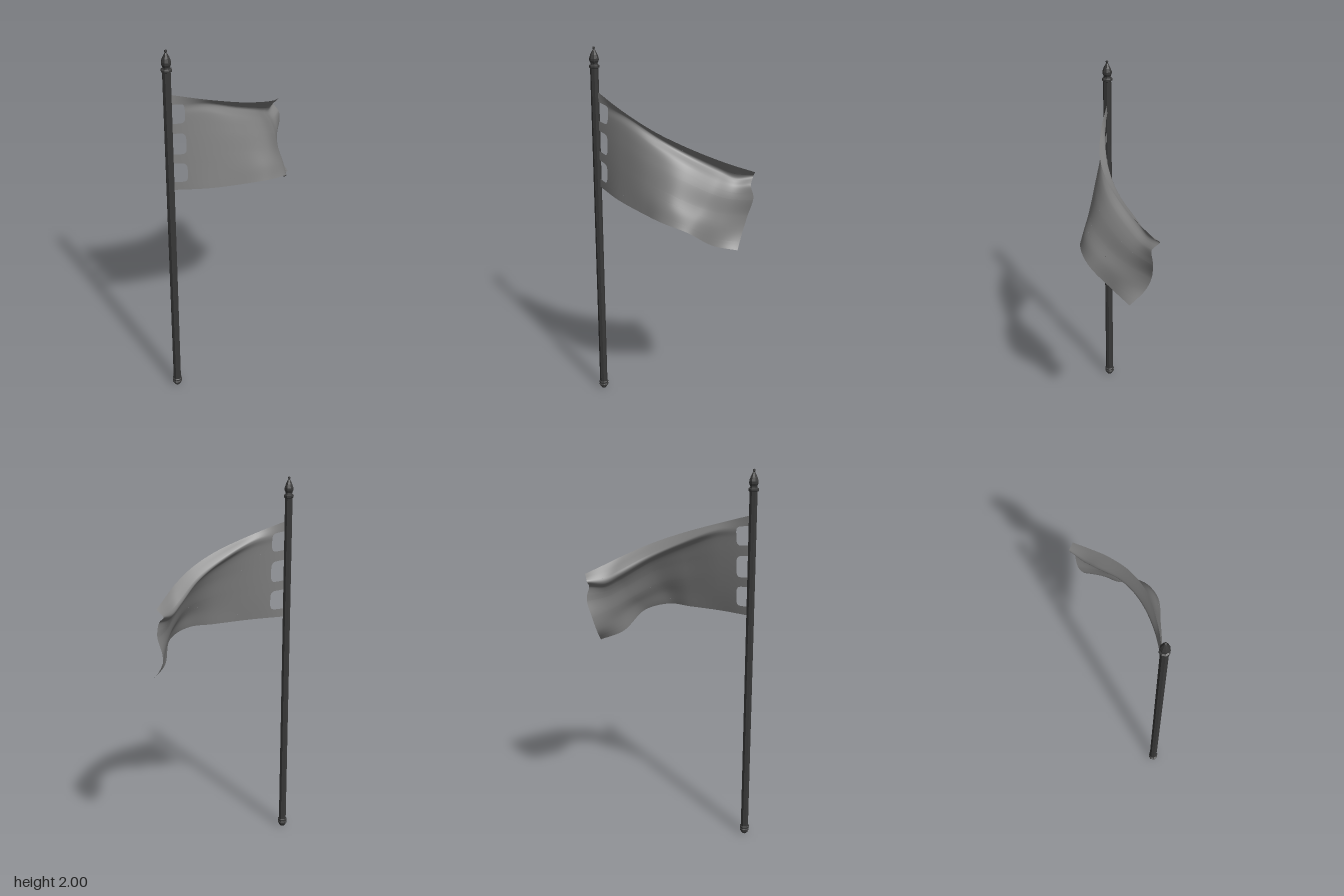
import * as THREE from 'three';

const POLE_X = -0.39, POLE_Z = 0.107;

// Rails running from the pole to the free end: top hem, crease, lip of the fold, belly, bottom hem
const RAILS = [
  [[-0.375, 1.77, 0.106], [-0.2, 1.71, 0.122], [0, 1.64, 0.11], [0.15, 1.58, 0.055], [0.27, 1.52, -0.03], [0.34, 1.48, -0.1], [0.412, 1.44, -0.18]],
  [[-0.375, 1.70, 0.106], [-0.2, 1.675, 0.103], [0, 1.588, 0.068], [0.14, 1.515, 0.005], [0.26, 1.435, -0.095], [0.32, 1.4, -0.145], [0.385, 1.405, -0.205]],
  [[-0.375, 1.665, 0.107], [-0.2, 1.64, 0.113], [0, 1.56, 0.102], [0.15, 1.485, 0.047], [0.27, 1.4, -0.055], [0.33, 1.365, -0.115], [0.397, 1.37, -0.168]],
  [[-0.375, 1.58, 0.107], [-0.2, 1.55, 0.125], [0, 1.49, 0.132], [0.15, 1.435, 0.09], [0.27, 1.355, -0.01], [0.335, 1.315, -0.09], [0.41, 1.305, -0.175]],
  [[-0.375, 1.46, 0.107], [-0.2, 1.43, 0.138], [0, 1.39, 0.158], [0.15, 1.35, 0.138], [0.26, 1.28, 0.045], [0.325, 1.235, -0.055], [0.383, 1.2, -0.168]],
  [[-0.375, 1.36, 0.107], [-0.2, 1.335, 0.148], [0, 1.307, 0.177], [0.145, 1.285, 0.178], [0.255, 1.23, 0.105], [0.32, 1.165, -0.005], [0.378, 1.125, -0.137]],
  [[-0.375, 1.255, 0.106], [-0.2, 1.24, 0.159], [0, 1.225, 0.19], [0.13, 1.217, 0.204], [0.25, 1.178, 0.15], [0.313, 1.085, 0.03], [0.4, 1.05, -0.065]],
];
const SPANS = RAILS.length - 1;
const curveOf = (pts) => new THREE.CatmullRomCurve3(pts, false, 'centripetal');
const rails = RAILS.map((r) => curveOf(r.map((p) => new THREE.Vector3(...p))));

// Height at the pole -> parameter across the rails
function acrossAt(y) {
  let i = 0;
  while (i < SPANS - 1 && y < RAILS[i + 1][0][1]) i++;
  const a = RAILS[i][0][1], b = RAILS[i + 1][0][1];
  return Math.min(1, (i + (a - y) / (a - b)) / SPANS);
}

// Rows of the cloth: height at the pole and how far the cloth is cut back there
function clothRows() {
  const rows = [];
  const strap = (top, bottom) => {
    for (let i = 0; i <= 4; i++) rows.push([top + (bottom - top) * i / 4, 0]);
  };
  const gap = (top, bottom) => {
    const n = 18;
    for (let i = 0; i <= n; i++) {
      const t = -Math.cos(Math.PI * i / n); // denser near the rounded corners
      const round = Math.pow(Math.max(0, 1 - t * t * t * t), 0.35);
      rows.push([(top + bottom) / 2 - t * (top - bottom) / 2, 0.042 + 0.028 * round]);
    }
  };
  strap(1.77, 1.72);
  gap(1.72, 1.615);
  strap(1.615, 1.565);
  gap(1.565, 1.455);
  strap(1.455, 1.405);
  gap(1.405, 1.30);
  strap(1.30, 1.255);
  return rows;
}

function clothGeometry() {
  const rows = clothRows(), cols = 56, pos = [], index = [];
  rows.forEach(([y, cut], r) => {
    const v = acrossAt(y);
    for (let c = 0; c <= cols; c++) {
      const u = cut + (1 - cut) * c / cols;
      const p = curveOf(rails.map((rail) => rail.getPoint(u))).getPoint(v);
      pos.push(p.x, p.y, p.z);
      // rows at the same height only shift the cut edge
      if (r && c && y !== rows[r - 1][0]) {
        const d = r * (cols + 1) + c, b = d - cols - 1;
        index.push(b - 1, d - 1, d, b - 1, d, b);
      }
    }
  });
  const g = new THREE.BufferGeometry();
  g.setAttribute('position', new THREE.Float32BufferAttribute(pos, 3));
  g.setIndex(index);
  g.computeVertexNormals();
  return g;
}

export function createModel() {
  const group = new THREE.Group();
  const metal = new THREE.MeshStandardMaterial({ color: 0x383838, flatShading: true });
  const cloth = new THREE.MeshStandardMaterial({ color: 0x808080, side: THREE.DoubleSide });

  // Turned eight-sided parts on the pole axis
  const turned = (name, profile) => {
    const g = new THREE.LatheGeometry(profile.map(([r, y]) => new THREE.Vector2(r, y)), 8);
    const m = new THREE.Mesh(g, metal);
    m.name = name;
    m.position.set(POLE_X, 0, POLE_Z);
    group.add(m);
  };
  turned('poleFoot', [[0, 0.002], [0.012, 0.004], [0.02, 0.014], [0.021, 0.022], [0.026, 0.025],
    [0.026, 0.031], [0.021, 0.034], [0.021, 0.038], [0.026, 0.041], [0.026, 0.047], [0.021, 0.05]]);
  turned('pole', [[0.021, 0.045], [0.021, 1.895]]);
  turned('finial', [[0.021, 1.89], [0.027, 1.894], [0.027, 1.904], [0.019, 1.909], [0.018, 1.916],
    [0.024, 1.93], [0.024, 1.942], [0.018, 1.96], [0.008, 1.98], [0.004, 1.985],
    [0.007, 1.991], [0.006, 1.997], [0, 2]]);

  // Wind-blown flag with four straps at the pole
  const flag = new THREE.Mesh(clothGeometry(), cloth);
  flag.name = 'flag';
  group.add(flag);
  return group;
}
